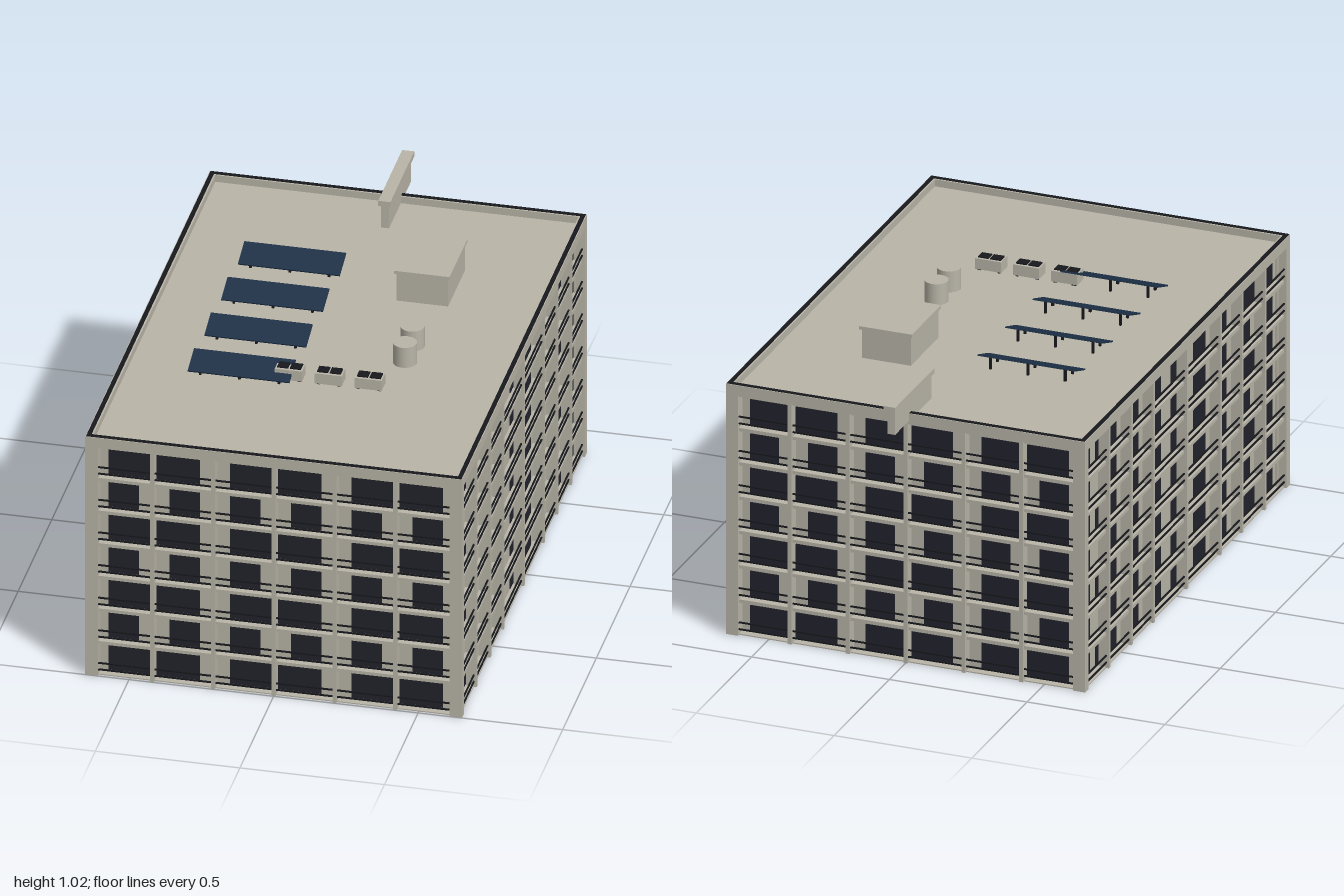
import * as THREE from 'three';

const mat = (name, color, side = THREE.FrontSide) => {
  const m = new THREE.MeshStandardMaterial({ color, side });
  m.name = name;
  return m;
};

export function createModel() {
  const concrete = mat('concrete', 0xb8b4a7);
  const glass = mat('dark glass', 0x22222c);
  const metal = mat('black metal', 0x17181d);
  const solar = mat('solar blue', 0x1d3047);

  const model = new THREE.Group();
  model.name = 'apartmentBlock';

  // Box given by its min and max corners
  const box = (name, m, x0, x1, y0, y1, z0, z1, parent = model) => {
    const mesh = new THREE.Mesh(new THREE.BoxGeometry(x1 - x0, y1 - y0, z1 - z0), m);
    mesh.position.set((x0 + x1) / 2, (y0 + y1) / 2, (z0 + z1) / 2);
    mesh.name = name;
    parent.add(mesh);
    return mesh;
  };

  const W = 0.652, ZB = -0.855, ZF = 1.0;     // outer footprint
  const ZC = (ZB + ZF) / 2, HD = (ZF - ZB) / 2;
  const recess = 0.04, floors = 7, rise = 0.1265, roofY = 0.895;

  // Recessed core and floor slabs
  box('core', concrete, -W + recess, W - recess, 0, roofY, ZB + recess, ZF - recess);
  for (let f = 0; f <= floors; f++) {
    const y = f * rise, y0 = f ? y - 0.008 : 0;
    box('floorSlab', concrete, -W + 0.01, W - 0.01, y0, y + 0.004, ZB + 0.01, ZF - 0.01);
  }

  // Corner columns
  for (const sx of [-1, 1]) for (const sz of [-1, 1]) {
    const c = box('cornerColumn', concrete, -0.016, 0.016, 0, roofY, -0.016, 0.016);
    c.position.x = sx * (W - 0.016);
    c.position.z = ZC + sz * (HD - 0.016);
  }

  // One facade in local space: u runs along the wall, +z points outward, z = 0 is the outer plane
  const facade = (name, half, columns, windowsFor) => {
    const g = new THREE.Group();
    g.name = name;
    for (const u of columns)
      box('column', concrete, u - 0.007, u + 0.007, 0, roofY, -recess, 0, g);
    for (let f = 0; f < floors; f++) {
      const y = f * rise;
      for (const [a, b] of windowsFor(f % 2 === 0))
        box('window', glass, a, b, y + 0.009, y + 0.103, -recess - 0.004, -recess + 0.003, g);
      for (const h of [0.021, 0.046])
        box('balconyRail', metal, -half + 0.03, half - 0.03, y + h - 0.0025, y + h + 0.0025, -0.012, -0.007, g);
    }
    model.add(g);
    return g;
  };

  // Front and back: six bays, windows mirrored in pairs, wider on alternate floors
  const endColumns = [-0.615, -0.42, -0.21, 0, 0.21, 0.42, 0.615];
  const endWindows = (wide) => {
    const w = wide ? 0.153 : 0.105, list = [];
    for (const c of [-0.42, 0, 0.42]) {
      list.push([c - 0.159, c - 0.159 + w], [c + 0.157 - w, c + 0.157]);
    }
    return list;
  };
  facade('frontFacade', W, endColumns, endWindows).position.z = ZF;
  const back = facade('backFacade', W, endColumns, endWindows);
  back.rotation.y = Math.PI;
  back.position.z = ZB;

  // Long sides, given as world z and mirrored to both sides
  const sideZ = [0.777, 0.572, 0.375, 0.0725, -0.228, -0.427, -0.632];
  const sideWindows = (wide) => [
    [0.82, 0.933], [0.622, wide ? 0.807 : 0.729], [0.418, 0.515], [0.22, 0.327], [0.016, 0.123],
    [-0.182, -0.075], [-0.38, -0.279], [wide ? -0.665 : -0.584, -0.477], [-0.815, -0.718],
  ];
  for (const s of [-1, 1]) {
    const toU = (z) => -s * (z - ZC);
    const side = facade(s > 0 ? 'leftFacade' : 'rightFacade', HD, sideZ.map(toU),
      (wide) => sideWindows(wide).map(([a, b]) => [toU(a), toU(b)].sort((p, q) => p - q)));
    side.rotation.y = s * Math.PI / 2;
    side.position.set(s * W, 0, ZC);
  }

  // Parapet ring with a dark coping strip; ring() cuts a rectangular hole
  const ring = (name, m, inset, width, y0, y1) => {
    const rect = (P, i) => {
      const x = W - i, z = HD - i;
      return new P().moveTo(-x, -z).lineTo(x, -z).lineTo(x, z).lineTo(-x, z).closePath();
    };
    const shape = rect(THREE.Shape, inset);
    shape.holes.push(rect(THREE.Path, inset + width));
    const geo = new THREE.ExtrudeGeometry(shape, { depth: y1 - y0, bevelEnabled: false });
    geo.rotateX(-Math.PI / 2).translate(0, y0, ZC);
    const mesh = new THREE.Mesh(geo, m);
    mesh.name = name;
    model.add(mesh);
  };
  ring('parapet', concrete, 0, 0.024, 0.885, 0.923);
  ring('parapetCoping', metal, 0.003, 0.015, 0.922, 0.925);
  box('roofDeck', concrete, -W + 0.02, W - 0.02, 0.885, roofY + 0.002, ZB + 0.02, ZF - 0.02);

  // Stair penthouse with overhanging cap
  box('penthouse', concrete, 0.15, 0.328, roofY, 1.005, -0.432, -0.183);
  box('penthouseCap', concrete, 0.143, 0.335, 1.004, 1.016, -0.44, -0.175);

  // Narrow wall overhanging the back edge
  box('roofWall', concrete, -0.014, 0.014, 0.897, 0.986, -0.983, -0.655);
  box('roofWallCap', concrete, -0.021, 0.021, 0.985, 1.005, -1.0, -0.645);

  // Water tanks
  for (const z of [0.103, 0.217]) {
    const tank = new THREE.Mesh(new THREE.CylinderGeometry(0.041, 0.041, 0.078, 32), concrete);
    tank.position.set(0.272, 0.935, z);
    tank.name = 'waterTank';
    model.add(tank);
  }

  // Air conditioning units with twin fan grilles
  for (const x of [-0.08, 0.058, 0.196]) {
    box('airUnit', concrete, x - 0.047, x + 0.047, roofY + 0.008, 0.942, 0.381, 0.438);
    for (const s of [-1, 1]) {
      const c = x + s * 0.022;
      box('fanGrille', metal, c - 0.019, c + 0.019, 0.94, 0.946, 0.391, 0.428);
      box('airUnitFoot', metal, x + s * 0.036 - 0.005, x + s * 0.036 + 0.005, roofY, 0.905, 0.388, 0.431);
    }
  }

  // Tilted solar panels on legs
  for (const z of [-0.323, -0.074, 0.175, 0.424]) {
    const panel = box('solarPanel', solar, -0.42, -0.068, 0.928, 0.933, z - 0.051, z + 0.051);
    panel.rotation.x = 0.34;
    for (const x of [-0.38, -0.244, -0.108]) {
      box('panelLegTall', metal, x - 0.004, x + 0.004, roofY, 0.94, z - 0.037, z - 0.029);
      box('panelLegShort', metal, x - 0.004, x + 0.004, roofY, 0.917, z + 0.029, z + 0.037);
    }
  }

  return model;
}
